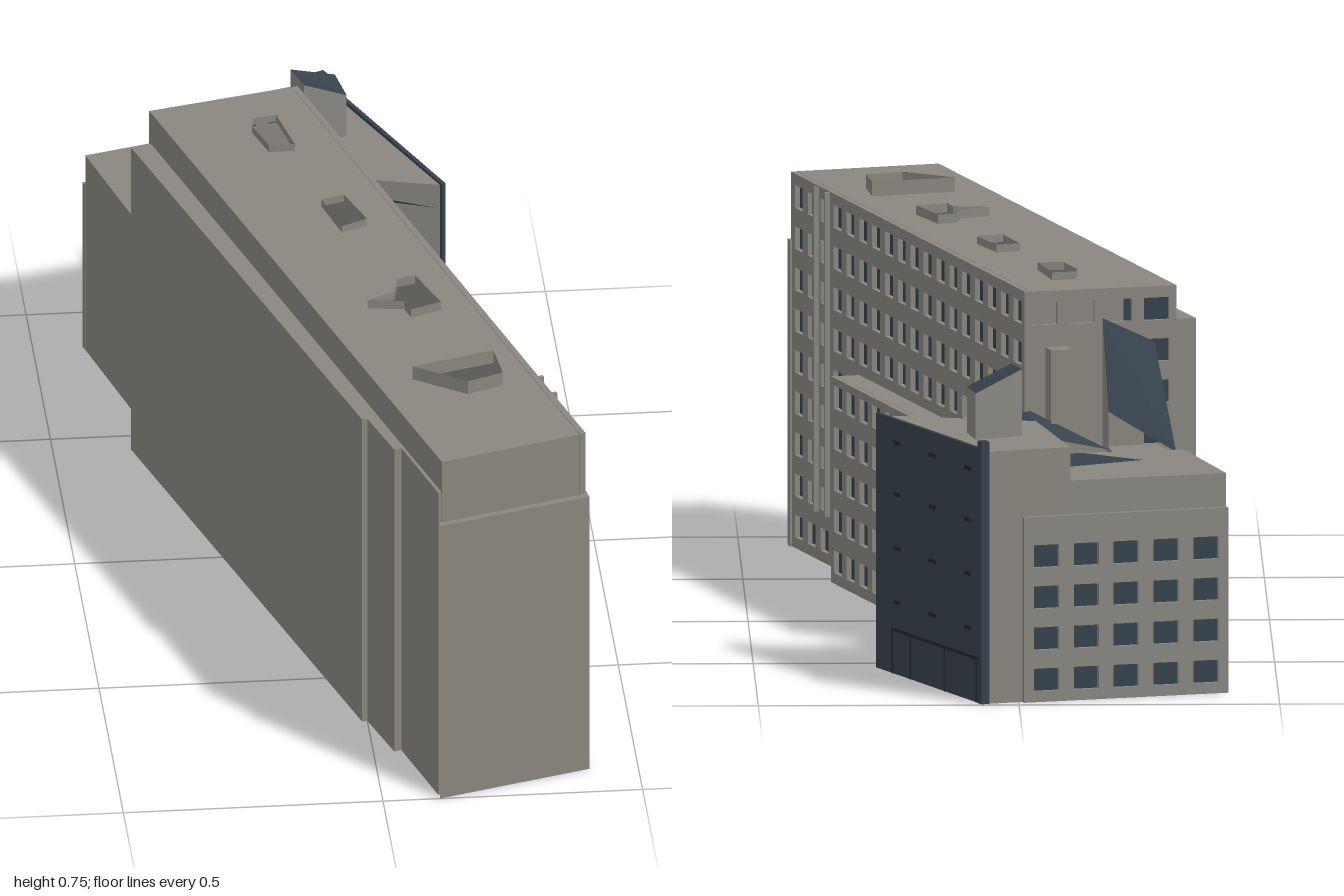
import * as THREE from 'three';
import { mergeGeometries } from 'three/addons/utils/BufferGeometryUtils.js';

const mat = (name, color) => {
  const m = new THREE.MeshStandardMaterial({ color, side: THREE.DoubleSide });
  m.name = name;
  return m;
};

export function createModel() {
  const root = new THREE.Group();
  const concrete = mat('warm grey concrete', 0x8a8780);
  const glass = mat('dark blue glass', 0x36424d);
  const joint = mat('dark joint', 0x20272d);

  const add = (parent, name, geo, material) => {
    const m = new THREE.Mesh(geo, material);
    m.name = name;
    parent.add(m);
    return m;
  };

  // Flat polygon from corner points [x, y, z], fanned from the first
  const face = (pts) => {
    const pos = [];
    for (let i = 1; i < pts.length - 1; i++) pos.push(...pts[0], ...pts[i], ...pts[i + 1]);
    const g = new THREE.BufferGeometry();
    g.setAttribute('position', new THREE.Float32BufferAttribute(pos, 3));
    g.computeVertexNormals();
    return g;
  };

  // Upright walls around a plan of [x, z] points, with outward faces
  const walls = (plan, y0, y1) => {
    let area = 0;
    plan.forEach(([x, z], i) => {
      const [x2, z2] = plan[(i + 1) % plan.length];
      area += x * z2 - x2 * z;
    });
    const p = area > 0 ? [...plan].reverse() : plan;
    return mergeGeometries(p.map(([x, z], i) => {
      const [x2, z2] = p[(i + 1) % p.length];
      return face([[x, y0, z], [x2, y0, z2], [x2, y1, z2], [x, y1, z]]);
    }));
  };

  // Horizontal roof over a plan, with optional openings
  const roof = (plan, y, holes = []) => {
    const v = (pts) => pts.map(([x, z]) => new THREE.Vector2(x, -z));
    const s = new THREE.Shape(v(plan));
    holes.forEach((h) => s.holes.push(new THREE.Path(v(h))));
    return new THREE.ShapeGeometry(s).rotateX(-Math.PI / 2).translate(0, y, 0);
  };

  // Block without a floor
  const block = (name, plan, y0, y1, holes) => {
    const g = new THREE.Group();
    g.name = name;
    add(g, name + 'Walls', walls(plan, y0, y1), concrete);
    add(g, name + 'Roof', roof(plan, y1, holes), concrete);
    root.add(g);
    return g;
  };

  // Group whose local x runs from a to b and whose local z points outwards
  const wallFrame = (name, a, b) => {
    const g = new THREE.Group();
    g.name = name;
    g.position.set(a[0], 0, a[1]);
    g.rotation.y = Math.atan2(a[1] - b[1], b[0] - a[0]);
    g.userData.length = Math.hypot(b[0] - a[0], b[1] - a[1]);
    root.add(g);
    return g;
  };

  const box = (parent, name, w, h, d, x, y, z, m) =>
    add(parent, name, new THREE.BoxGeometry(w, h, d).translate(x, y, z), m);

  // Facade pierced by a grid of windows, glazing set behind
  const T = 0.012;
  const facade = (name, a, b, h, cols, rows, first, last, skip = () => false) => {
    const g = wallFrame(name, a, b);
    const L = g.userData.length;
    const rect = (P, x0, y0, x1, y1) =>
      new P([[x0, y0], [x1, y0], [x1, y1], [x0, y1]].map((p) => new THREE.Vector2(...p)));
    const s = rect(THREE.Shape, 0, 0, L, h);
    for (let c = 0; c < cols; c++) {
      const x = first + ((last - first) * c) / (cols - 1);
      for (let r = 0; r < rows; r++) {
        if (skip(c, r)) continue;
        const y = 0.043 + r * 0.08;
        s.holes.push(rect(THREE.Path, x - 0.025, y - 0.022, x + 0.025, y + 0.022));
      }
    }
    const geo = new THREE.ExtrudeGeometry(s, { depth: T, bevelEnabled: false });
    add(g, name + 'Wall', geo.translate(0, 0, -T), concrete);
    add(g, name + 'Glazing', new THREE.PlaneGeometry(L - 0.01, h - 0.01)
      .translate(L / 2, h / 2, -T + 0.002), glass);
    return g;
  };

  // Long slab with open roof lights
  const lights = [
    [0.742, [[-0.12, -0.39], [-0.075, -0.4], [-0.05, -0.28], [-0.1, -0.28], [-0.125, -0.36]]],
    [0.742, [[-0.02, -0.055], [0.025, -0.07], [0.06, 0.03], [0.01, 0.055]]],
    [0.745, [[0.03, 0.36], [0.085, 0.33], [0.095, 0.28], [0.13, 0.27], [0.17, 0.38], [0.11, 0.405], [0.1, 0.37]]],
    [0.755, [[0.09, 0.65], [0.25, 0.6], [0.26, 0.69], [0.19, 0.72]]],
  ];
  block('mainSlab', [[0.115, 0.985], [0.388, 0.9], [-0.03, -0.526], [-0.31, -0.455]], 0, 0.727,
    lights.map((l) => l[1]));
  lights.forEach(([y, plan]) => add(root, 'roofLightCurb', walls(plan, 0.727, y), concrete));

  // Stepped blind wall along the slab's -x side
  block('sideStrip', [[-0.35, -0.445], [-0.01, 0.68], [0, 0.677], [0.04, 0.805], [0.054, 0.8],
    [0.108, 0.985], [0.118, 0.98], [-0.305, -0.458]], 0, 0.66);
  // Thicker end wall below the top storeys
  block('endWall', [[0.11, 1], [0.406, 0.908], [0.402, 0.886], [0.112, 0.975]], 0, 0.595);

  // Window front of the slab, with thin piers
  const front = facade('slabFacade', [0.4, 0.895], [-0.018, -0.53], 0.727, 18, 9, 0.05, 1.447);
  for (const x of [0.175, 0.245]) box(front, 'pier', 0.008, 0.63, 0.012, x, 0.41, 0.004, concrete);

  // Low wing in front of the slab
  block('lowWing', [[0.27, 0.478], [0.319, 0.464], [0.018, -0.552], [-0.03, -0.53]], 0, 0.4);
  const wing = facade('wingFacade', [0.332, 0.464], [0.03, -0.56], 0.4, 13, 5, 0.045, 1.015);
  for (const x of [0.68, 0.76, 0.83]) box(wing, 'pier', 0.008, 0.31, 0.012, x, 0.245, 0.004, concrete);

  // Rear end of the slab: top row and one outer column of windows
  facade('slabEnd', [-0.02, -0.538], [-0.313, -0.465], 0.727, 4, 9, 0.04, 0.262,
    (c, r) => r < 8 && c < 3);

  // Rear block: low part, tall part and its window front
  block('rearLowBlock', [[-0.4, -0.85], [-0.1, -0.935], [-0.04, -0.62], [-0.325, -0.57]], 0, 0.425);
  block('rearTallBlock', [[-0.1, -0.935], [0.06, -0.985], [0.255, -0.55], [-0.04, -0.625]], 0, 0.49);
  facade('rearFacade', [-0.01, -0.975], [-0.404, -0.862], 0.36, 5, 4, 0.045, 0.365);

  // Dark glazed wall with joints and a post at its rear end
  const dark = wallFrame('glazedWall', [0.262, -0.545], [0.066, -0.99]);
  const L = dark.userData.length;
  box(dark, 'glazedPanel', L, 0.495, 0.008, L / 2, 0.2475, 0, glass);
  box(dark, 'endPost', 0.02, 0.51, 0.016, L - 0.01, 0.255, -0.002, glass);
  for (const x of [0.1, 0.26, 0.42])
    for (const y of [0.14, 0.245, 0.35, 0.45]) box(dark, 'vent', 0.03, 0.008, 0.006, x, y, 0.003, joint);
  box(dark, 'baseRail', 0.4, 0.006, 0.006, 0.275, 0.086, 0.003, joint);
  for (const x of [0.078, 0.16, 0.315, 0.46])
    box(dark, 'baseJoint', 0.006, 0.086, 0.006, x, 0.043, 0.003, joint);

  // Roof hut with a sloping dark top
  const hut = [[-0.01, 0.62, -0.8], [0.01, 0.62, -0.735], [0.095, 0.58, -0.76], [0.08, 0.58, -0.845]];
  add(root, 'roofHutTop', face(hut), glass);
  add(root, 'roofHutWalls', mergeGeometries(hut.map((p, i) => {
    const q = hut[(i + 1) % 4];
    return face([[p[0], 0.49, p[2]], [q[0], 0.49, q[2]], q, p]);
  })), concrete);

  // Sunken dark opening in the low roof
  add(root, 'roofOpening', roof([[-0.245, -0.71], [-0.08, -0.8], [-0.06, -0.72], [-0.07, -0.64],
    [-0.13, -0.625], [-0.2, -0.68]], 0.428), glass);

  // Link between slab and rear block
  block('link', [[-0.31, -0.58], [-0.27, -0.47], [-0.18, -0.49], [-0.19, -0.59]], 0, 0.42);
  add(root, 'linkSlope', face([[-0.31, 0.42, -0.57], [-0.27, 0.62, -0.475], [-0.17, 0.67, -0.505],
    [-0.18, 0.5, -0.58]]), glass);
  add(root, 'linkSlopeSide', face([[-0.18, 0.42, -0.58], [-0.18, 0.5, -0.58], [-0.17, 0.67, -0.505],
    [-0.17, 0.42, -0.505]]), concrete);
  block('linkShaft', [[-0.11, -0.57], [-0.07, -0.58], [-0.06, -0.54], [-0.1, -0.53]], 0.4, 0.62);
  add(root, 'linkCanopy', face([[-0.04, 0.46, -0.62], [-0.18, 0.43, -0.6], [-0.03, 0.5, -0.565],
    [0.25, 0.44, -0.55]]), glass);

  return root;
}
